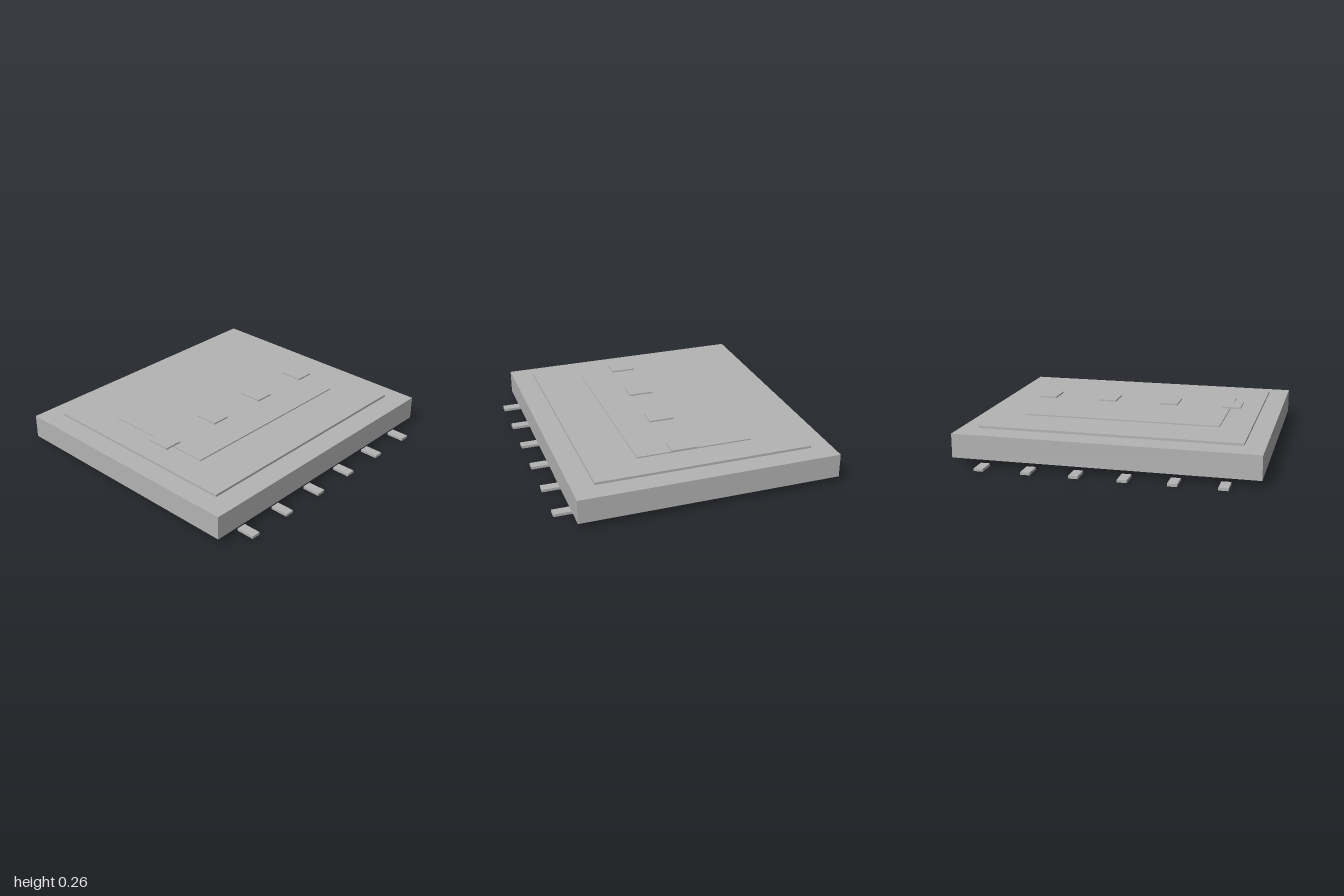
import * as THREE from 'three';

export function createModel() {
  const model = new THREE.Group();
  const grey = new THREE.MeshStandardMaterial({ color: 0xb4b4b4 });
  grey.name = 'plain grey';

  // Box given by its x centre, bottom, z centre and size
  function slab(name, x, bottom, z, width, height, depth) {
    const mesh = new THREE.Mesh(new THREE.BoxGeometry(width, height, depth), grey);
    mesh.name = name;
    mesh.position.set(x, bottom + height / 2, z);
    model.add(mesh);
  }

  // Main body with two stepped plates on top
  slab('body', 0, 0.044, 0, 2, 0.16, 1.74);
  slab('lowerPlate', 0, 0.211, 0, 1.736, 0.016, 1.45);
  slab('upperPlate', 0, 0.227, 0, 1.324, 0.008, 0.784);

  // Row of raised pads
  for (let i = 0; i < 4; i++) {
    slab('pad', -0.682 + i * 0.441, 0.255, 0.087, 0.125, 0.01, 0.168);
  }

  // Pins along the front and back edges
  for (const side of [1, -1]) {
    for (let i = 0; i < 6; i++) {
      slab(side > 0 ? 'frontPin' : 'backPin', -0.782 + i * 0.312, 0, side * 0.915, 0.062, 0.018, 0.122);
    }
  }
  return model;
}
